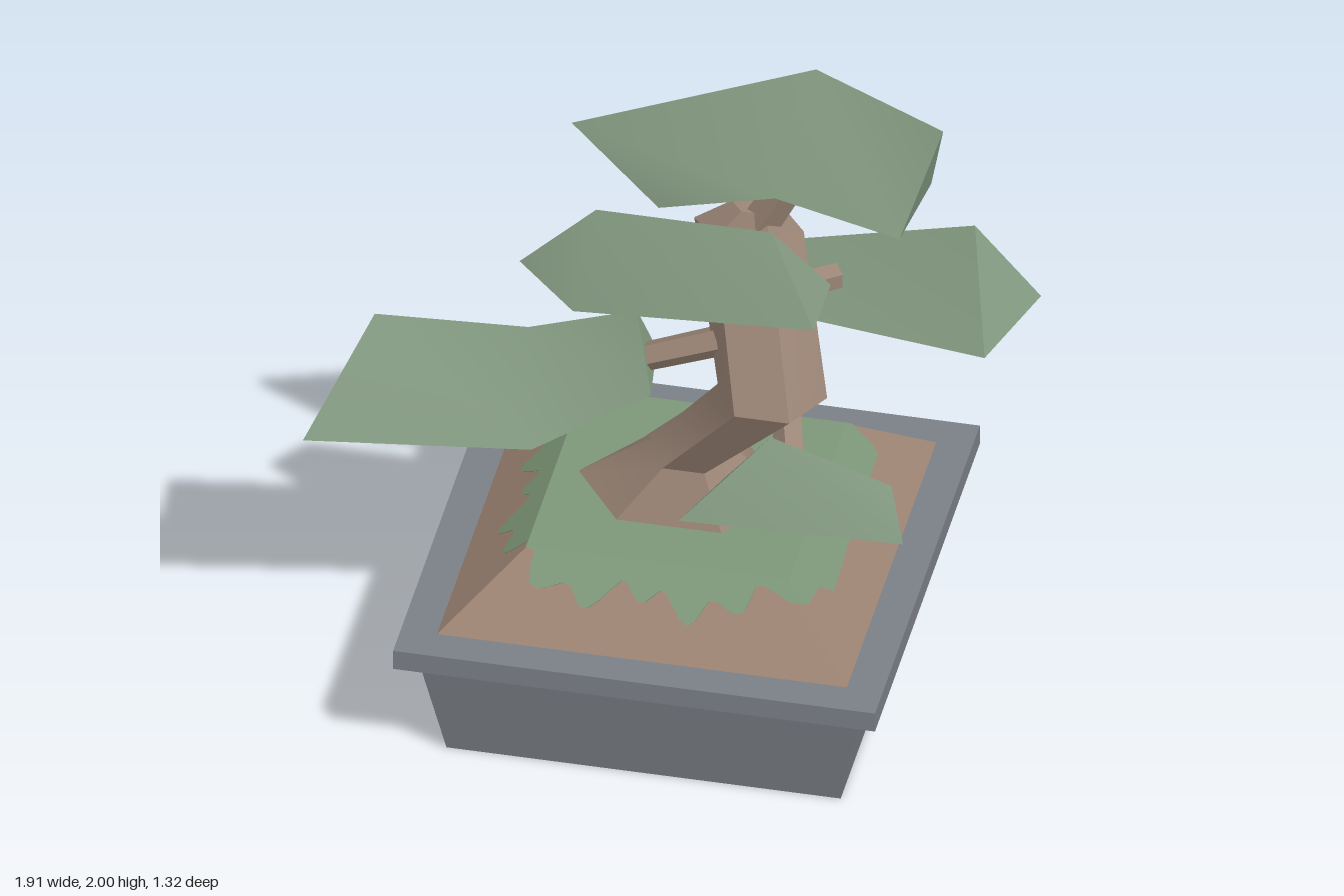
import * as THREE from 'three';
import { toCreasedNormals } from 'three/addons/utils/BufferGeometryUtils.js';

const mat = (name, color) => {
  const m = new THREE.MeshStandardMaterial({ color });
  m.name = name;
  return m;
};

// Closed skin through cross-sections, each a list of [x, y, z] points
// running counterclockwise about the direction of travel.
function loft(sections, crease = 0.6) {
  const pos = [];
  const same = (p, q) => p.every((v, k) => v === q[k]);
  const tri = (a, b, c) => {
    if (!same(a, b) && !same(b, c) && !same(c, a)) pos.push(...a, ...b, ...c);
  };
  const n = sections[0].length;
  for (let s = 0; s < sections.length - 1; s++) {
    const A = sections[s], B = sections[s + 1];
    for (let i = 0; i < n; i++) {
      const j = (i + 1) % n;
      tri(A[i], A[j], B[j]);
      tri(A[i], B[j], B[i]);
    }
  }
  const first = sections[0], last = sections[sections.length - 1];
  for (let i = 1; i < n - 1; i++) {
    tri(first[0], first[i + 1], first[i]);
    tri(last[0], last[i], last[i + 1]);
  }
  const g = new THREE.BufferGeometry();
  g.setAttribute('position', new THREE.Float32BufferAttribute(pos, 3));
  return toCreasedNormals(g, crease);
}

// Horizontal ring of n points
function ring(cx, y, cz, rx, rz, n, start = 0) {
  return Array.from({ length: n }, (_, i) => {
    const a = start + (i / n) * Math.PI * 2;
    return [cx + Math.cos(a) * rx, y, cz - Math.sin(a) * rz];
  });
}
const square = (y, h) => ring(0.008, y, 0, h * Math.SQRT2, h * Math.SQRT2, 4, Math.PI / 4);

export function createModel() {
  const model = new THREE.Group();
  const pot = mat('pot grey', 0x7b8087);
  const soil = mat('soil brown', 0x9b8371);
  const moss = mat('moss green', 0x7d9779);
  const bark = mat('bark brown', 0x9b8576);
  const leaf = mat('foliage green', 0x849a81);
  const add = (name, geometry, material) => {
    const m = new THREE.Mesh(geometry, material);
    m.name = name;
    model.add(m);
    return m;
  };

  // Pot, rim and sloped soil
  add('potBody', loft([square(0, 0.54), square(0.335, 0.605)]), pot);
  add('potRim', loft([square(0.33, 0.66), square(0.39, 0.66)]), pot);
  add('soilMound', loft([square(0.385, 0.567), square(0.567, 0.36)]), soil);

  // Moss: flat middle with a wavy skirt lying on the soil slopes
  const N = 144, inner = [], outer = [];
  for (let i = 0; i < N; i++) {
    const a = (i / N) * Math.PI * 2;
    const c = Math.cos(a), s = -Math.sin(a);
    const k = 1 / Math.max(Math.abs(c), Math.abs(s));
    const corner = (k - 1) / (Math.SQRT2 - 1);
    const wave = 0.024 * Math.sin(a * 22) + 0.018 * Math.sin(a * 9 + 1);
    const r = Math.max(0.362, 0.44 - 0.06 * corner * corner + wave);
    inner.push([0.008 + c * k * 0.36, 0.571, s * k * 0.36]);
    outer.push([0.008 + c * k * r, 0.571 - (r - 0.36) * 0.879, s * k * r]);
  }
  add('moss', loft([outer, inner], 0.3), moss).material.side = THREE.DoubleSide;

  // Six-sided leaning trunk: [x, y, z, x radius, z radius]
  const trunk = [
    [0, 0.56, 0, 0.3, 0.23],
    [0.03, 0.72, 0.01, 0.115, 0.15],
    [0.275, 1.03, 0.145, 0.15, 0.155],
    [0.175, 1.45, -0.02, 0.15, 0.1],
    [0.2, 1.53, -0.01, 0.07, 0.05],
  ].map(([x, y, z, rx, rz]) => ring(x, y, z, rx, rz, 6));
  add('trunk', loft(trunk), bark);

  // Branches
  const branch = (name, from, to, r) => {
    const a = new THREE.Vector3(...from), b = new THREE.Vector3(...to);
    const d = b.clone().sub(a);
    const g = toCreasedNormals(new THREE.CylinderGeometry(r * 0.9, r, d.length(), 5), 0.6);
    const m = add(name, g, bark);
    m.position.copy(a).add(b).multiplyScalar(0.5);
    m.quaternion.setFromUnitVectors(new THREE.Vector3(0, 1, 0), d.normalize());
  };
  branch('topBranch', [0.2, 1.46, 0], [0.34, 1.73, 0.01], 0.055);
  branch('rightBranch', [0.18, 1.16, 0.09], [-0.13, 1.03, 0.09], 0.045);
  branch('frontBranch', [0.31, 1.01, 0.13], [0.39, 0.9, 0.41], 0.045);
  branch('leftBranch', [0.22, 1.25, 0.02], [0.4, 1.25, -0.11], 0.04);

  // Foliage: three-sided sections of ridge, front edge and back edge
  const tip = (p) => [p, p, p];
  const pads = {
    topFoliage: [
      [[-0.3, 1.75, 0.03], [-0.04, 1.58, 0.13], [-0.1, 1.58, -0.12]],
      [[0.36, 2.0, -0.015], [0.29, 1.7, 0.18], [0.32, 1.7, -0.16]],
      [[0.72, 1.89, 0.04], [0.62, 1.58, 0.13], [0.65, 1.58, -0.13]],
    ],
    middleFoliage: [
      tip([-0.41, 1.38, 0.18]),
      [[-0.2, 1.585, 0.18], [-0.24, 1.32, 0.29], [-0.27, 1.36, 0.08]],
      [[0.28, 1.585, 0.18], [0.42, 1.36, 0.29], [0.42, 1.36, 0.08]],
    ],
    leftFoliage: [
      [[0.25, 1.31, -0.16], [0.3, 1.14, -0.05], [0.3, 1.15, -0.22]],
      [[0.77, 1.46, -0.13], [0.83, 1.14, 0.025], [0.83, 1.14, -0.26]],
      tip([0.95, 1.25, -0.135]),
    ],
    rightFoliage: [
      [[-0.81, 1.13, 0.165], [-0.96, 0.84, 0.38], [-0.91, 0.84, 0.07]],
      [[-0.41, 1.08, 0.07], [-0.36, 0.82, 0.265], [-0.36, 0.82, -0.1]],
      [[-0.11, 1.19, 0.08], [-0.05, 0.99, 0.18], [-0.08, 0.99, -0.03]],
    ],
    frontFoliage: [
      [[0.33, 1.08, 0.415], [0.1, 0.845, 0.525], [0.18, 0.845, 0.31]],
      [[0.66, 0.97, 0.415], [0.71, 0.845, 0.5], [0.6, 0.845, 0.34]],
    ],
  };
  for (const [name, sections] of Object.entries(pads)) add(name, loft(sections), leaf);

  return model;
}
